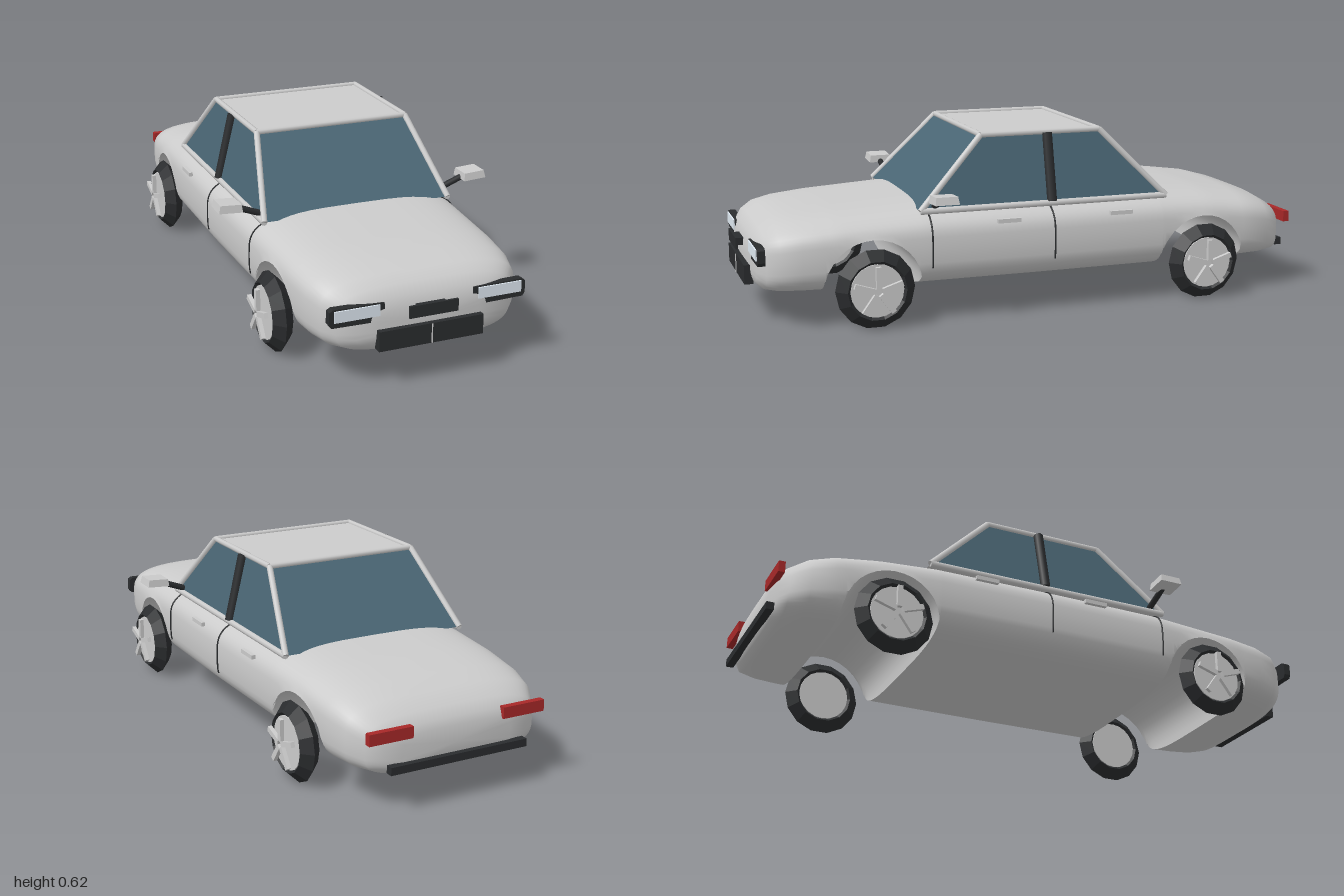
import * as THREE from 'three';
import { toCreasedNormals } from 'three/addons/utils/BufferGeometryUtils.js';

const mat = (color) => new THREE.MeshStandardMaterial({ color });
const grey = mat(0xcccccc), black = mat(0x2a2c2e), glass = mat(0x4a6674), red = mat(0xa82828), lens = mat(0xdfe9f2);
const V = (x, y, z) => new THREE.Vector3(x, y, z);

// Body stations: z, half width, bottom, top
const STATIONS = [
  [0.967, 0.17, 0.16, 0.26], [0.955, 0.25, 0.135, 0.295], [0.93, 0.3, 0.115, 0.325],
  [0.89, 0.335, 0.11, 0.348], [0.82, 0.355, 0.108, 0.363], [0.7, 0.367, 0.107, 0.375],
  [0.4, 0.38, 0.107, 0.392], [0, 0.385, 0.107, 0.392], [-0.45, 0.38, 0.107, 0.392],
  [-0.65, 0.372, 0.107, 0.38], [-0.8, 0.362, 0.107, 0.36], [-0.88, 0.345, 0.108, 0.338],
  [-0.94, 0.31, 0.112, 0.305], [-0.965, 0.26, 0.125, 0.275], [-0.975, 0.2, 0.14, 0.25],
];
const AXLES = [0.587, -0.611];
const ARCH = 0.163, AXLE_Y = 0.135;

function station(z) {
  let i = 0;
  while (i < STATIONS.length - 2 && STATIONS[i + 1][0] > z) i++;
  const a = STATIONS[i], b = STATIONS[i + 1], t = (a[0] - z) / (a[0] - b[0]);
  return a.map((v, k) => v + (b[k] - v) * t);
}

// Point on the rounded-square cross-section at z
function sectionPoint(z, angle, grow = 0) {
  const [, w, lo, hi] = station(z);
  const p = (v) => Math.sign(v) * Math.abs(v) ** (2 / 3.7);
  return V((w + grow) * p(Math.cos(angle)), (lo + hi) / 2 + ((hi - lo) / 2 + grow) * p(Math.sin(angle)), z);
}

function bodyGeometry() {
  // Cuts hold [z, lowest allowed y]; the wheel arches lift the underside
  const cuts = [];
  for (const c of AXLES) {
    cuts.push([c + ARCH, -1]);
    for (let i = 0; i <= 16; i++) {
      const a = (i / 16) * Math.PI;
      cuts.push([c + ARCH * Math.cos(a), AXLE_Y + ARCH * Math.sin(a)]);
    }
    cuts.push([c - ARCH, -1]);
  }
  for (const [z] of STATIONS) if (AXLES.every((c) => Math.abs(z - c) > ARCH)) cuts.push([z, -1]);
  cuts.sort((a, b) => b[0] - a[0]);

  const N = 56, pos = [], idx = [];
  for (const [z, lo] of cuts) {
    for (let j = 0; j < N; j++) {
      const p = sectionPoint(z, (j / N) * Math.PI * 2);
      pos.push(p.x, Math.max(p.y, lo), z);
    }
  }
  const last = (cuts.length - 1) * N, front = cuts.length * N;
  pos.push(0, 0.21, 0.969, 0, 0.195, -0.977);
  for (let j = 0; j < N; j++) {
    const k = (j + 1) % N;
    for (let i = 0; i < last; i += N) {
      idx.push(i + j, i + N + j, i + k, i + k, i + N + j, i + N + k);
    }
    idx.push(front, j, k, front + 1, last + k, last + j);
  }
  const g = new THREE.BufferGeometry();
  g.setAttribute('position', new THREE.Float32BufferAttribute(pos, 3));
  g.setIndex(idx);
  return toCreasedNormals(g, 0.75);
}

export function createModel() {
  const car = new THREE.Group();
  car.name = 'car';

  function add(name, geometry, material, x = 0, y = 0, z = 0, parent = car) {
    const m = new THREE.Mesh(geometry, material);
    m.name = name;
    m.position.set(x, y, z);
    parent.add(m);
    return m;
  }
  const box = (name, w, h, d, material, x, y, z, parent) =>
    add(name, new THREE.BoxGeometry(w, h, d), material, x, y, z, parent);
  function bar(name, a, b, r, material = grey) {
    const m = add(name, new THREE.CylinderGeometry(r, r, a.distanceTo(b), 8), material);
    m.position.copy(a).lerp(b, 0.5);
    m.quaternion.setFromUnitVectors(V(0, 1, 0), b.clone().sub(a).normalize());
    return m;
  }

  add('body', bodyGeometry(), grey);

  // Cabin: a tapered box with glass sides and a painted roof
  const corner = (s, top, front) => top
    ? V(s * 0.277, 0.613, front ? 0.19 : -0.243)
    : V(s * 0.337, 0.375, front ? 0.42 : -0.475);
  const cabin = new THREE.BoxGeometry(1, 1, 1);
  const cp = cabin.attributes.position;
  for (let i = 0; i < cp.count; i++) {
    const c = corner(Math.sign(cp.getX(i)), cp.getY(i) > 0, cp.getZ(i) > 0);
    cp.setXYZ(i, c.x, c.y, c.z);
  }
  cabin.computeVertexNormals();
  add('cabin', cabin, [glass, glass, grey, grey, glass, glass]);

  // Window frame bars
  for (const f of [true, false]) bar('roofCrossRail', corner(-1, true, f), corner(1, true, f), 0.01);
  for (const s of [-1, 1]) {
    bar('roofSideRail', corner(s, true, true), corner(s, true, false), 0.01);
    bar('beltRail', corner(s, false, true), corner(s, false, false), 0.011);
    bar('frontPillar', corner(s, false, true), corner(s, true, true), 0.011);
    bar('rearPillar', corner(s, false, false), corner(s, true, false), 0.011);
    bar('middlePillar', V(s * 0.337, 0.38, -0.048), V(s * 0.283, 0.61, -0.048), 0.018, black);

    // Door seams follow the body section
    for (const z of [0.39, -0.043]) {
      const pts = [];
      for (let i = 0; i <= 10; i++) {
        const p = sectionPoint(z, 0.75 - i * 0.095, 0.001);
        pts.push(V(s * p.x, p.y, z));
      }
      add('doorSeam', new THREE.TubeGeometry(new THREE.CatmullRomCurve3(pts), 20, 0.003, 5), black);
    }
    for (const z of [0.123, -0.287]) box('doorHandle', 0.014, 0.014, 0.082, grey, s * 0.382, 0.334, z);

    // Door mirror
    bar('mirrorArm', V(s * 0.33, 0.39, 0.37), V(s * 0.43, 0.428, 0.37), 0.011, black);
    const head = new THREE.CylinderGeometry(0.052, 0.058, 0.026, 4, 1).rotateY(Math.PI / 4).toNonIndexed();
    head.computeVertexNormals();
    add('mirrorHead', head, grey, s * 0.447, 0.433, 0.37).rotation.z = s * 0.06;

    // Headlight with dark surround
    const outline = [[0.152, 0.285], [0.148, 0.247], [0.165, 0.225], [0.326, 0.228], [0.334, 0.24], [0.333, 0.28], [0.322, 0.288]];
    const shape = new THREE.Shape(outline.map(([x, y]) => new THREE.Vector2(s * x, y)));
    add('headlightSurround', new THREE.ExtrudeGeometry(shape, { depth: 0.025, bevelEnabled: false }), black, 0, 0, 0.938);
    box('headlightLens', 0.15, 0.037, 0.012, lens, s * 0.243, 0.264, 0.962);

    box('tailLight', 0.155, 0.038, 0.022, red, s * 0.243, 0.259, -0.973);
  }

  // Front and rear trim
  box('noseVent', 0.165, 0.04, 0.008, black, 0, 0.253, 0.993);
  box('noseVentMount', 0.1, 0.025, 0.04, black, 0, 0.253, 0.97);
  box('grille', 0.355, 0.066, 0.03, black, 0, 0.167, 0.971);
  box('grilleBar', 0.003, 0.064, 0.004, grey, 0, 0.167, 0.987);
  box('rearBumper', 0.5, 0.026, 0.026, black, 0, 0.15, -0.983);

  // Wheels: faceted tyre, rim disc and five raised spokes
  const tyre = new THREE.TorusGeometry(0.1, 0.035, 4, 14).rotateY(Math.PI / 2).toNonIndexed();
  tyre.computeVertexNormals();
  const rim = new THREE.CylinderGeometry(0.09, 0.09, 0.06, 20).rotateZ(Math.PI / 2);
  const spoke = new THREE.BoxGeometry(0.014, 0.074, 0.018).translate(0.05, 0.048, 0);
  for (const s of [-1, 1]) {
    for (const z of AXLES) {
      const wheel = new THREE.Group();
      wheel.name = 'wheel';
      wheel.position.set(s * 0.375, AXLE_Y, z);
      wheel.rotation.y = s < 0 ? Math.PI : 0;
      car.add(wheel);
      add('tyre', tyre, black, 0, 0, 0, wheel);
      add('rim', rim, grey, 0, 0, 0, wheel);
      for (let i = 0; i < 5; i++) add('spoke', spoke, grey, 0, 0, 0, wheel).rotation.x = (i / 5) * Math.PI * 2;
    }
  }
  return car;
}
